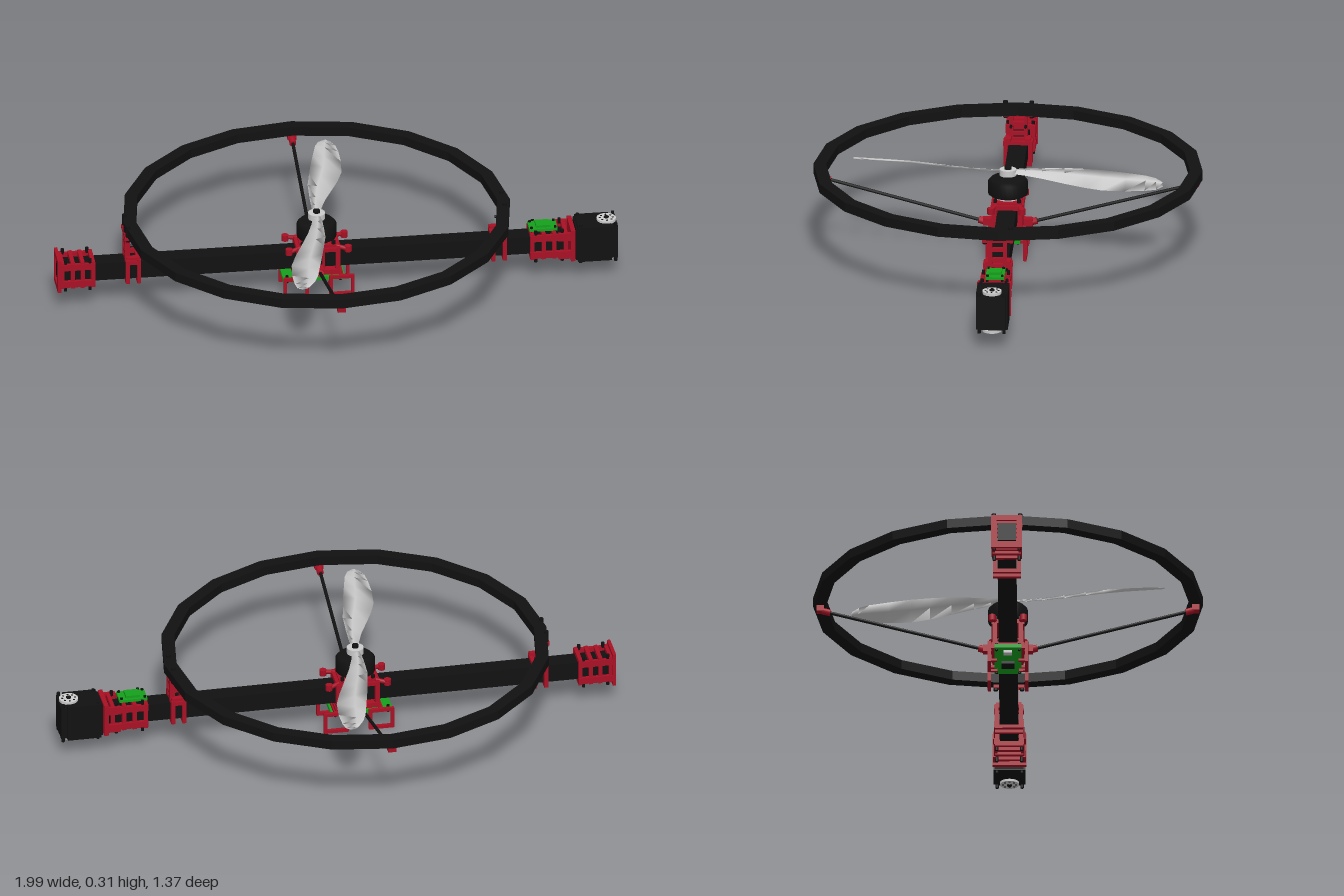
import * as THREE from 'three';

const mat = (color) => new THREE.MeshStandardMaterial({ color });
const black = mat(0x111111), red = mat(0xa81024), green = mat(0x14a01c), grey = mat(0xcccccc);
const CX = -0.073; // rotor axis
const BY = 0.133;  // boom centre height

function add(parent, name, geo, m, x = 0, y = 0, z = 0) {
  const mesh = new THREE.Mesh(geo, m);
  mesh.name = name;
  mesh.position.set(x, y, z);
  parent.add(mesh);
  return mesh;
}
const box = (p, name, m, w, h, d, x, y, z) => add(p, name, new THREE.BoxGeometry(w, h, d), m, x, y, z);
const cyl = (p, name, m, r, h, x, y, z, n = 16) => add(p, name, new THREE.CylinderGeometry(r, r, h, n), m, x, y, z);

// round bar between two points
function rod(p, name, m, a, b, r, n = 10) {
  const dir = b.clone().sub(a);
  const mesh = cyl(p, name, m, r, dir.length(), 0, 0, 0, n);
  mesh.position.copy(a).addScaledVector(dir, 0.5);
  mesh.quaternion.setFromUnitVectors(new THREE.Vector3(0, 1, 0), dir.normalize());
  return mesh;
}

function group(parent, name, x = 0) {
  const g = new THREE.Group();
  g.name = name;
  g.position.x = x;
  parent.add(g);
  return g;
}

// rectangular hoop around the boom, in the yz plane
function hoop(p, x, w, h, d, t) {
  for (const s of [-1, 1]) {
    box(p, 'hoopBar', red, w, t, d, x, BY + s * (h - t) / 2, 0);
    box(p, 'hoopSide', red, w, h, t, x, BY, s * (d - t) / 2);
  }
}

// end clamp: hoops joined by four rails, with bolts
function clamp(parent, name, x0, x1) {
  const g = group(parent, name);
  const len = x1 - x0, mid = (x0 + x1) / 2;
  for (const t of [0.06, 0.36, 0.64, 0.94]) hoop(g, x0 + len * t, 0.014, 0.1, 0.1, 0.016);
  for (const sy of [-1, 1]) for (const sz of [-1, 1]) {
    box(g, 'rail', red, len, 0.024, 0.012, mid, BY + sy * 0.033, sz * 0.047);
    for (const t of [0.15, 0.85])
      cyl(g, 'bolt', black, 0.006, 0.02, x0 + len * t, BY + sy * 0.051, sz * 0.044, 8);
  }
  return g;
}

// rotor guard: twenty-sided flat ring
function guardRing(root) {
  const poly = (r) => Array.from({ length: 20 }, (_, i) => {
    const a = i * Math.PI / 10;
    return new THREE.Vector2(r * Math.cos(a), r * Math.sin(a));
  });
  const shape = new THREE.Shape(poly(0.687));
  shape.holes.push(new THREE.Path(poly(0.642)));
  const geo = new THREE.ExtrudeGeometry(shape, { depth: 0.034, bevelEnabled: false });
  geo.rotateX(-Math.PI / 2);
  add(root, 'guardRing', geo, black, CX, 0.272, 0);
}

// ring post standing on the boom; s mirrors it
function ringPost(root, x, s) {
  const g = group(root, 'ringPost', x);
  g.scale.x = s;
  hoop(g, 0.008, 0.014, 0.092, 0.1, 0.014);
  hoop(g, -0.032, 0.014, 0.092, 0.1, 0.014);
  for (const z of [-1, 1]) {
    box(g, 'sideRail', red, 0.05, 0.014, 0.012, -0.012, BY + 0.036, z * 0.046);
    box(g, 'upright', red, 0.018, 0.11, 0.014, 0.008, 0.222, z * 0.026);
    box(g, 'foot', red, 0.05, 0.014, 0.02, -0.012, 0.18, z * 0.035);
    cyl(g, 'ringBolt', black, 0.008, 0.062, 0.008, 0.284, z * 0.046, 8);
    cyl(g, 'sideBolt', black, 0.005, 0.016, -0.01, 0.225, z * 0.026, 8).rotation.z = Math.PI / 2;
  }
  for (const y of [0.195, 0.232]) box(g, 'crossBar', red, 0.016, 0.012, 0.06, 0.008, y, 0);
  box(g, 'ringSaddle', red, 0.022, 0.012, 0.11, 0.008, 0.266, 0);
}

// blade lofted from [left x, left z, right x, right z] stations, pitched across its chord
function bladeGeometry() {
  const st = [
    [-0.012, -0.01, 0.014, -0.01], [-0.012, -0.06, 0.026, -0.06], [-0.010, -0.12, 0.046, -0.12],
    [-0.005, -0.20, 0.080, -0.20], [0.010, -0.275, 0.112, -0.275], [0.024, -0.34, 0.134, -0.34],
    [0.043, -0.42, 0.143, -0.42], [0.060, -0.49, 0.143, -0.49], [0.075, -0.525, 0.138, -0.53],
    [0.096, -0.55, 0.122, -0.553]];
  const pos = [], idx = [];
  st.forEach(([lx, lz, rx, rz], i) => {
    const w = rx - lx, rise = w * 0.17, t = 0.004;
    const mx = lx + w * 0.4, mz = (lz + rz) / 2;
    pos.push(lx, rise, lz, mx, rise * 0.2 + t, mz, rx, -rise, rz, mx, rise * 0.2 - t, mz);
    if (i) for (let k = 0; k < 4; k++) {
      const a = (i - 1) * 4 + k, b = (i - 1) * 4 + (k + 1) % 4;
      idx.push(a, b, a + 4, b, b + 4, a + 4);
    }
  });
  const e = (st.length - 1) * 4;
  idx.push(0, 2, 1, 0, 3, 2, e, e + 1, e + 2, e, e + 2, e + 3);
  const geo = new THREE.BufferGeometry();
  geo.setAttribute('position', new THREE.Float32BufferAttribute(pos, 3));
  geo.setIndex(idx);
  geo.computeVertexNormals();
  return geo;
}

function rotor(root) {
  const g = group(root, 'rotor', CX);
  const can = [[0, 0.203], [0.06, 0.203], [0.07, 0.21], [0.07, 0.256], [0.06, 0.267], [0, 0.267]];
  const canGeo = new THREE.LatheGeometry(can.map(([r, y]) => new THREE.Vector2(r, y)), 32);
  add(g, 'motorCan', canGeo, black);
  cyl(g, 'motorBase', grey, 0.045, 0.014, 0, 0.199, 0, 24);
  cyl(g, 'shaft', black, 0.012, 0.05, 0, 0.284, 0);
  cyl(g, 'hub', grey, 0.03, 0.022, 0, 0.288, 0, 24);
  const blade = bladeGeometry();
  const side = grey.clone();
  side.side = THREE.DoubleSide;
  for (const a of [0, Math.PI]) add(g, 'propellerBlade', blade, side, 0, 0.291, 0).rotation.y = a;
}

// central mount: motor plate, clamp columns, base plate and landing legs
function centreMount(root) {
  const g = group(root, 'centreMount', CX);
  box(g, 'motorPlate', red, 0.13, 0.012, 0.1, 0, 0.187, 0);
  box(g, 'basePlate', red, 0.165, 0.012, 0.11, 0, 0.084, 0);
  for (const sx of [-1, 1]) {
    hoop(g, sx * 0.07, 0.016, 0.108, 0.108, 0.016);
    for (const sz of [-1, 1]) {
      const v = (x, y, z) => new THREE.Vector3(sx * x, y, sz * z);
      rod(g, 'mountArm', red, v(0.03, 0.187, 0.025), v(0.105, 0.178, 0.06), 0.008);
      cyl(g, 'armEnd', red, 0.013, 0.022, sx * 0.105, 0.178, sz * 0.055, 8);
      box(g, 'innerColumn', red, 0.008, 0.1, 0.01, sx * 0.018, BY, sz * 0.05);
      box(g, 'sideRail', red, 0.15, 0.014, 0.012, 0, BY + sx * 0.042, sz * 0.052);
      cyl(g, 'plateBolt', black, 0.007, 0.03, sx * 0.055, 0.19, sz * 0.042, 8);
      // square landing loop
      for (const y of [0.006, 0.073]) box(g, 'legBar', red, 0.085, 0.012, 0.012, sx * 0.081, y, sz * 0.066);
      for (const x of [0.042, 0.12]) box(g, 'legPost', red, 0.012, 0.079, 0.012, sx * x, 0.0395, sz * 0.066);
      box(g, 'legTie', red, 0.014, 0.01, 0.07, sx * 0.081, 0.074, sz * 0.035);
      box(g, 'legBrace', red, 0.012, 0.008, 0.03, sx * 0.042, 0.042, sz * 0.053);
    }
  }
  box(g, 'controlBoard', green, 0.22, 0.013, 0.095, -0.015, 0.06, 0);
  box(g, 'boardChip', black, 0.045, 0.01, 0.045, 0.01, 0.049, 0);
  box(g, 'boardSocket', grey, 0.025, 0.01, 0.03, -0.09, 0.049, 0);
  for (const x of [-0.11, 0.08]) for (const z of [-0.04, 0.04])
    cyl(g, 'boardStandoff', black, 0.005, 0.028, x, 0.062, z, 8);
}

// thin braces from the mount up to the ring
function braces(root) {
  const g = group(root, 'ringBraces', CX);
  for (const s of [-1, 1]) {
    const a = new THREE.Vector3(0, 0.103, s * 0.08), b = new THREE.Vector3(0, 0.255, s * 0.655);
    rod(g, 'brace', black, a, b, 0.006);
    rod(g, 'lowerSocket', red, a, a.clone().lerp(b, 0.04), 0.013);
    box(g, 'lowerLug', red, 0.03, 0.026, 0.036, 0, 0.104, s * 0.07);
    rod(g, 'upperSocket', red, a.clone().lerp(b, 0.95), b, 0.012);
    box(g, 'upperLug', red, 0.03, 0.022, 0.026, 0, 0.261, s * 0.662);
  }
}

// tilt servo on the boom's left end
function servo(root) {
  const g = group(root, 'servo');
  box(g, 'servoBody', black, 0.15, 0.122, 0.1, 0.918, BY, 0);
  box(g, 'servoCore', black, 0.12, 0.134, 0.112, 0.91, BY, 0);
  box(g, 'servoBracket', red, 0.016, 0.12, 0.12, 0.832, BY, 0);
  for (const z of [-1, 1]) {
    box(g, 'bracketArm', red, 0.06, 0.03, 0.012, 0.81, BY + 0.035, z * 0.052);
    box(g, 'bracketArm', red, 0.06, 0.03, 0.012, 0.81, BY - 0.035, z * 0.052);
    for (const x of [0.86, 0.985]) cyl(g, 'caseScrew', black, 0.006, 0.15, x, BY, z * 0.044, 8);
  }
  for (const s of [-1, 1]) {
    cyl(g, 'outputDisc', grey, 0.034, 0.01, 0.957, BY + s * 0.07, 0, 24);
    cyl(g, 'discScrew', black, 0.009, 0.016, 0.957, BY + s * 0.071, 0, 12);
    for (let i = 0; i < 8; i++) {
      const a = i * Math.PI / 4;
      cyl(g, 'discHole', black, 0.004, 0.011, 0.957 + 0.023 * Math.cos(a), BY + s * 0.07, 0.023 * Math.sin(a), 8);
    }
  }
}

export function createModel() {
  const root = new THREE.Group();
  root.name = 'rotorBoom';
  box(root, 'boom', black, 1.81, 0.066, 0.066, -0.09, BY, 0);
  guardRing(root);
  rotor(root);
  centreMount(root);
  braces(root);
  ringPost(root, -0.742, -1);
  ringPost(root, 0.582, 1);

  const endClamp = clamp(root, 'rightEndClamp', -0.99, -0.866);
  hoop(endClamp, -0.994, 0.012, 0.125, 0.11, 0.02);
  clamp(root, 'leftEndClamp', 0.68, 0.815);
  servo(root);

  // small board on top of the left clamp
  const b = group(root, 'sensorBoard', 0.73);
  box(b, 'board', green, 0.1, 0.01, 0.066, 0, 0.19, 0);
  box(b, 'boardBlock', green, 0.05, 0.012, 0.045, 0, 0.198, 0);
  for (const x of [-0.042, 0.042]) for (const z of [-0.026, 0.026])
    cyl(b, 'boardScrew', black, 0.005, 0.03, x, 0.186, z, 8);
  return root;
}
